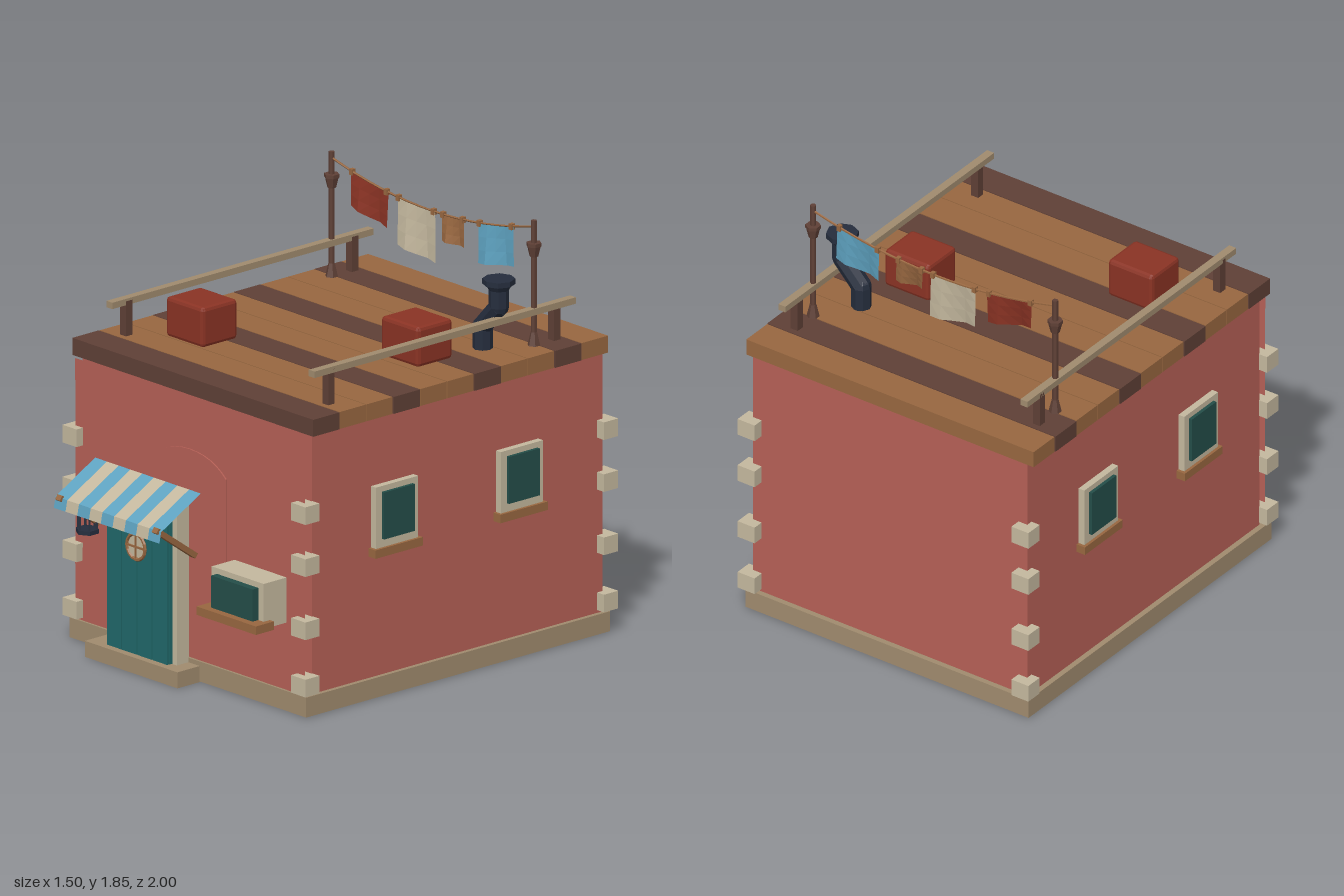
import * as THREE from 'three';
import { RoundedBoxGeometry } from 'three/addons/geometries/RoundedBoxGeometry.js';

const mat = (name, color, side = THREE.FrontSide) =>
  new THREE.MeshStandardMaterial({ name, color, side, flatShading: true });

export function createModel() {
  const root = new THREE.Group();
  root.name = 'house';
  const D = THREE.DoubleSide;
  const M = {
    wall: mat('terracotta wall', 0xb66056, D),
    stone: mat('cream stone', 0xc4b89e, D),
    base: mat('tan stone', 0xa08b6e),
    wood: mat('wood', 0x986740, D),
    dark: mat('dark wood', 0x5f4036),
    teal: mat('teal paint', 0x20686a),
    glass: mat('window glass', 0x244e49),
    blue: mat('blue cloth', 0x5ea2c0, D),
    metal: mat('dark metal', 0x252d3d),
    red: mat('red paint', 0x8a3324, D),
  };

  const add = (name, geo, m, x = 0, y = 0, z = 0, parent = root) => {
    const mesh = new THREE.Mesh(geo, m);
    mesh.name = name;
    mesh.position.set(x, y, z);
    parent.add(mesh);
    return mesh;
  };
  // Box given by its extents on each axis
  const box = (name, m, x0, x1, y0, y1, z0, z1, parent = root) =>
    add(name, new THREE.BoxGeometry(x1 - x0, y1 - y0, z1 - z0), m,
      (x0 + x1) / 2, (y0 + y1) / 2, (z0 + z1) / 2, parent);
  // Upright or angled round bar between two points
  const bar = (name, m, a, b, r, sides = 8, r2 = r, parent = root) => {
    const p = new THREE.Vector3(...a), q = new THREE.Vector3(...b);
    const dir = q.clone().sub(p);
    const mid = p.add(q).multiplyScalar(0.5);
    const mesh = add(name, new THREE.CylinderGeometry(r2, r, dir.length(), sides), m, mid.x, mid.y, mid.z, parent);
    mesh.quaternion.setFromUnitVectors(new THREE.Vector3(0, 1, 0), dir.normalize());
    return mesh;
  };
  // Open sheet whose points follow a rule of u (across) and v (down)
  const sheet = (name, m, nu, nv, rule, parent = root) => {
    const geo = new THREE.PlaneGeometry(1, 1, nu, nv);
    const p = geo.attributes.position;
    for (let i = 0; i < p.count; i++) p.setXYZ(i, ...rule(p.getX(i) + 0.5, 0.5 - p.getY(i)));
    geo.computeVertexNormals();
    return add(name, geo, m, 0, 0, 0, parent);
  };

  // Walls, plinth and doorstep
  box('walls', M.wall, -0.705, 0.705, 0, 1.23, -0.95, 0.685);
  box('plinth', M.base, -0.73, 0.725, 0.003, 0.09, -0.975, 0.735);
  box('doorstep', M.base, -0.5, 0.07, 0, 0.07, 0.7, 0.86);

  // Thin front facing with bands and a filled-in arch
  const facing = (name, y0, y1, z) =>
    add(name, new THREE.PlaneGeometry(1.41, y1 - y0), M.wall, 0, (y0 + y1) / 2, z);
  facing('frontFacing', 0.09, 1.225, 0.724);
  facing('upperBand', 1.13, 1.225, 0.728);
  facing('lowerBand', 0.33, 0.41, 0.728);
  const arch = new THREE.Shape();
  arch.moveTo(-0.225, 0.47);
  arch.lineTo(0.225, 0.47);
  arch.lineTo(0.225, 0.92);
  arch.quadraticCurveTo(0.14, 1.0, 0, 1.0);
  arch.quadraticCurveTo(-0.14, 1.0, -0.225, 0.92);
  add('filledArch', new THREE.ExtrudeGeometry(arch, { depth: 0.006, bevelEnabled: false, curveSegments: 6 }), M.wall, 0, 0, 0.724);

  // Corner stones
  for (const s of [-1, 1])
    for (const y of [0.102, 0.352, 0.628, 0.855])
      for (const z of [-0.96, 0.72])
        box('cornerStone', M.stone, s * 0.7035 - 0.0435, s * 0.7035 + 0.0435, y, y + 0.077, z - 0.04, z + 0.04);

  // Roof planks, front to back
  for (let i = 0; i < 11; i++) {
    const z = 0.71 - i * 0.1514;
    const w = 0.738 + (i % 3 === 0 ? 0.003 : 0);
    box('roofPlank', i % 3 === 0 ? M.dark : M.wood, -w, w, 1.228, 1.302, z - 0.147, z);
  }

  // Side windows
  for (const s of [-1, 1])
    for (const z of [0.233, -0.47]) {
      const side = (name, m, out, y0, y1, half) =>
        box(name, m, Math.min(s * 0.69, s * out), Math.max(s * 0.69, s * out), y0, y1, z - half, z + half);
      side('windowFrame', M.stone, 0.735, 0.655, 0.925, 0.119);
      side('windowPane', M.glass, 0.75, 0.695, 0.9, 0.086);
      side('windowSill', M.wood, 0.748, 0.62, 0.657, 0.133);
    }

  // Front window
  box('frontWindowFrame', M.stone, 0.275, 0.595, 0.385, 0.582, 0.726, 0.855);
  box('frontWindowPane', M.glass, 0.308, 0.563, 0.41, 0.557, 0.84, 0.888);
  box('frontWindowSill', M.wood, 0.255, 0.62, 0.38, 0.417, 0.82, 0.922);

  // Door with planks and a round window
  const door = new THREE.Group();
  door.name = 'door';
  root.add(door);
  box('doorFrame', M.stone, -0.43, 0, 0.07, 0.785, 0.73, 0.8, door);
  box('doorBacking', M.teal, -0.4, -0.025, 0.072, 0.765, 0.79, 0.818, door);
  for (let i = 0; i < 4; i++) {
    const x = -0.4 + i * 0.09375;
    box('doorPlank', M.teal, x + 0.003, x + 0.091, 0.072, 0.765, 0.8, 0.83, door);
  }
  const rx = -0.213, ry = 0.545;
  add('roundPane', new THREE.CircleGeometry(0.055, 16), M.stone, rx, ry, 0.834, door);
  add('roundWindowRing', new THREE.TorusGeometry(0.056, 0.008, 6, 16), M.wood, rx, ry, 0.834, door);
  box('roundWindowBar', M.wood, rx - 0.055, rx + 0.055, ry - 0.004, ry + 0.004, 0.832, 0.84, door);
  box('roundWindowBar', M.wood, rx - 0.004, rx + 0.004, ry - 0.055, ry + 0.055, 0.832, 0.84, door);

  // Striped awning: slope, then hanging front edge
  const awning = new THREE.Group();
  awning.name = 'awning';
  root.add(awning);
  const profile = [[0.84, 0.765], [0.72, 0.988], [0.672, 0.998]];
  for (let i = 0; i < 9; i++)
    sheet('awningStripe', i % 2 ? M.stone : M.blue, 1, 2, (u, v) => {
      const [y, z] = profile[Math.round(v * 2)];
      return [-0.54 + (i + u) * 0.0722, y, z];
    }, awning);
  for (const x of [-0.512, 0.082]) {
    const strut = add('awningStrut', new THREE.BoxGeometry(0.03, 0.024, 0.27), M.wood, x, 0.645, 0.886, awning);
    strut.rotation.x = -Math.atan2(0.15, 0.21);
  }

  // Hanging lantern
  const lantern = new THREE.Group();
  lantern.name = 'lantern';
  lantern.position.set(-0.506, 0, 0.84);
  root.add(lantern);
  bar('lanternBase', M.metal, [0, 0.538, 0], [0, 0.556, 0], 0.05, 6, 0.05, lantern);
  bar('lanternRim', M.metal, [0, 0.64, 0], [0, 0.655, 0], 0.05, 6, 0.05, lantern);
  bar('lanternCap', M.metal, [0, 0.655, 0], [0, 0.677, 0], 0.05, 6, 0.03, lantern);
  for (let i = 0; i < 6; i++) {
    const a = i * Math.PI / 3, x = 0.041 * Math.sin(a), z = 0.041 * Math.cos(a);
    bar('lanternBar', M.metal, [x, 0.55, z], [x, 0.645, z], 0.006, 4, 0.006, lantern);
  }

  // Roof rails and clothesline poles, mirrored
  for (const s of [-1, 1]) {
    const x = s * 0.622;
    box('roofRail', M.base, x - 0.018, x + 0.018, 1.438, 1.466, -0.86, 0.61);
    for (const z of [0.515, -0.755]) box('railPost', M.dark, x - 0.018, x + 0.018, 1.3, 1.455, z - 0.018, z + 0.018);
    bar('pole', M.dark, [x, 1.3, -0.64], [x, 1.847, -0.64], 0.013, 6);
    bar('poleFoot', M.dark, [x, 1.3, -0.64], [x, 1.36, -0.64], 0.028, 6, 0.014);
    bar('poleCup', M.dark, [x, 1.69, -0.64], [x, 1.735, -0.64], 0.019, 6, 0.03);
    bar('poleCupRim', M.dark, [x, 1.735, -0.64], [x, 1.75, -0.64], 0.033, 6);
  }

  // Sagging clothesline with pegs and laundry
  const ropeY = (x) => 1.737 + 0.215 * x * x;
  const pts = [];
  for (let i = 0; i <= 8; i++) {
    const x = -0.62 + i * 0.155;
    pts.push(new THREE.Vector3(x, ropeY(x), -0.64));
  }
  add('clothesline', new THREE.TubeGeometry(new THREE.CatmullRomCurve3(pts), 16, 0.005, 5), M.wood);
  // Each cloth: material, then corners top left, top right, bottom right, bottom left
  const cloths = [
    [M.red, [-0.5, 1.785], [-0.27, 1.75], [-0.268, 1.6], [-0.485, 1.648]],
    [M.stone, [-0.212, 1.742], [0.017, 1.735], [0.032, 1.518], [-0.198, 1.547]],
    [M.wood, [0.06, 1.736], [0.195, 1.74], [0.206, 1.628], [0.075, 1.63]],
    [M.blue, [0.285, 1.753], [0.498, 1.787], [0.513, 1.62], [0.298, 1.585]],
  ];
  for (const [m, a, b, c, d] of cloths) {
    const mix = (k, u, v) => (a[k] * (1 - u) + b[k] * u) * (1 - v) + (d[k] * (1 - u) + c[k] * u) * v;
    sheet('laundry', m, 4, 3, (u, v) =>
      [mix(0, u, v), mix(1, u, v), -0.638 + v * (0.015 + 0.014 * Math.sin(u * 6))]);
    for (const x of [a[0] + 0.004, b[0] - 0.012])
      box('peg', M.wood, x - 0.009, x + 0.009, ropeY(x) - 0.014, ropeY(x) + 0.012, -0.65, -0.63);
  }

  // Roof crates
  for (const [x, z] of [[-0.385, 0.308], [0.41, -0.175]])
    add('crate', new RoundedBoxGeometry(0.23, 0.175, 0.197, 1, 0.016), M.red, x, 1.388, z);

  // Bent stove pipe
  const pipe = [[0.505, 1.3, -0.46], [0.505, 1.4, -0.46], [0.603, 1.505, -0.46], [0.603, 1.61, -0.46]];
  for (let i = 0; i < 3; i++) bar('stovePipe', M.metal, pipe[i], pipe[i + 1], 0.043, 8);
  for (const p of [pipe[1], pipe[2]]) add('pipeElbow', new THREE.SphereGeometry(0.043, 8, 6), M.metal, ...p);
  bar('pipeCollar', M.metal, [0.603, 1.58, -0.46], [0.603, 1.607, -0.46], 0.043, 8, 0.06);
  bar('pipeCap', M.metal, [0.603, 1.605, -0.46], [0.603, 1.628, -0.46], 0.069, 8);
  return root;
}
